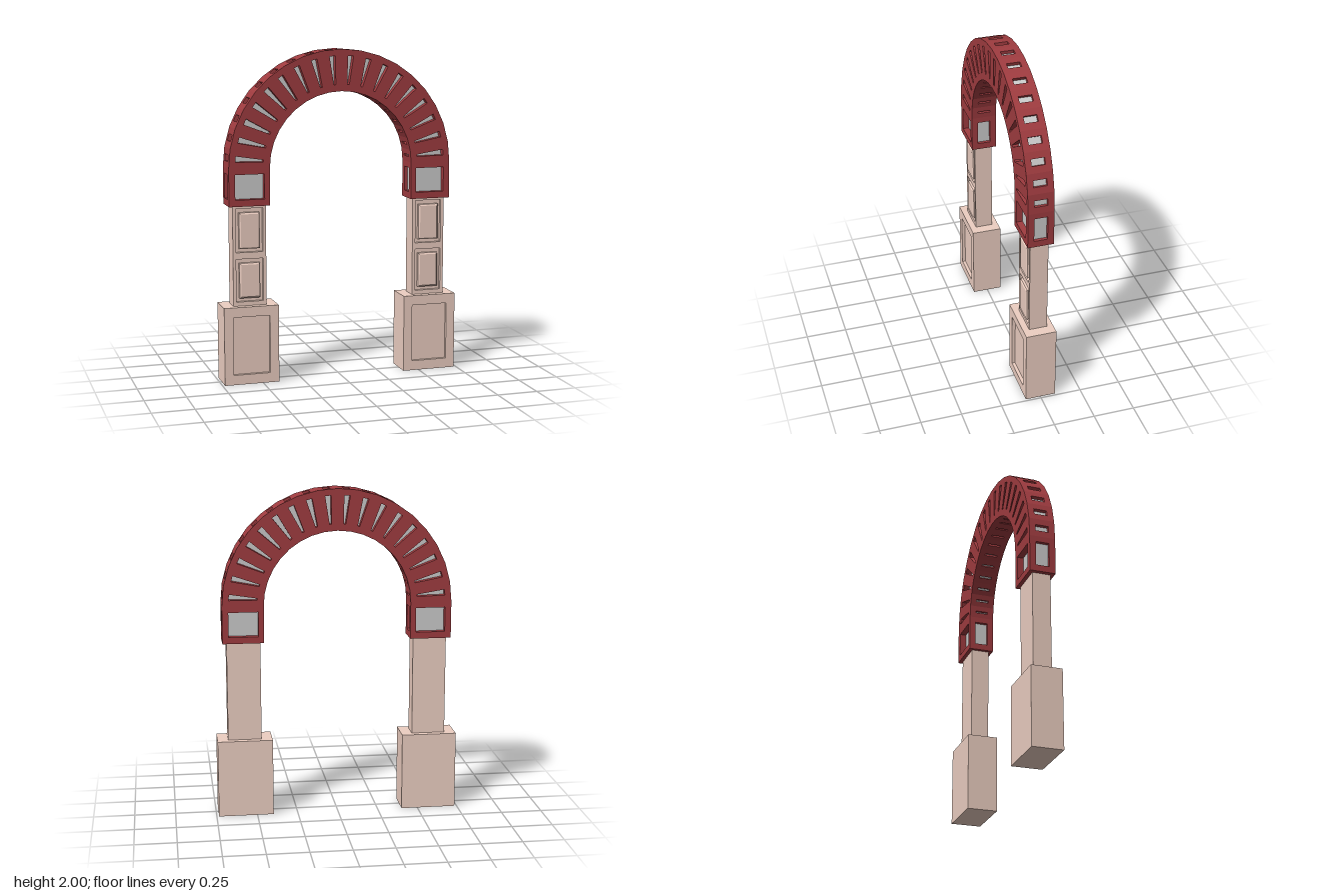
import * as THREE from 'three';
import { mergeGeometries } from 'three/addons/utils/BufferGeometryUtils.js';

const RED = 0xa03c40, STONE = 0xedcfc2, GREY = 0xcccccc;
const BASE_Y = 1.08, SPRING_Y = 1.305; // arch foot and centre of its curve
const R_OUT = 0.695, R_IN = 0.445, SEGMENTS = 18;
const STEP = Math.PI / SEGMENTS;
const HALF_Z = 0.078, CORE_Z = 0.04, RIM = 0.02;

const material = color => new THREE.MeshStandardMaterial({ color, flatShading: true });

function mesh(name, geometry, color) {
  const m = new THREE.Mesh(geometry, material(color));
  m.name = name;
  return m;
}

// Flat outline with holes, extruded from z0 to z1
function slab(points, holes, z0, z1) {
  const shape = new THREE.Shape(points);
  holes.forEach(h => shape.holes.push(new THREE.Path(h)));
  const g = new THREE.ExtrudeGeometry(shape, { depth: z1 - z0, bevelEnabled: false });
  return g.translate(0, 0, z0);
}

const v = (x, y) => new THREE.Vector2(x, y);
const rect = (x0, x1, y0, y1) => [v(x0, y0), v(x1, y0), v(x1, y1), v(x0, y1)];

function box(x0, x1, y0, y1, z0, z1) {
  return new THREE.BoxGeometry(x1 - x0, y1 - y0, z1 - z0)
    .translate((x0 + x1) / 2, (y0 + y1) / 2, (z0 + z1) / 2);
}

// Corner of the faceted arch, and a point on the facet centred on angle a
const corner = (k, r) => v(r * Math.cos(k * STEP), SPRING_Y + r * Math.sin(k * STEP));
const onFacet = (a, r, t) => v(
  r * Math.cos(a) - t * Math.sin(a),
  SPRING_Y + r * Math.sin(a) + t * Math.cos(a));

function archOutline(rOut, rIn, y0) {
  const outer = [v(rOut, y0)], inner = [v(rIn, y0)];
  for (let k = 0; k <= SEGMENTS; k++) {
    outer.push(corner(k, rOut));
    inner.push(corner(k, rIn));
  }
  outer.push(v(-rOut, y0));
  inner.push(v(-rIn, y0));
  return outer.concat(inner.reverse());
}

// Rim strip of the arch, interrupted by a window in each facet
function rimPieces(r0, r1, halfGap) {
  const shrink = Math.cos(STEP / 2);
  const pieces = [];
  for (let k = 0; k <= SEGMENTS; k++) {
    const side = r => {
      const start = k === 0 ? v(r, 1.27) : onFacet((k - 0.5) * STEP, r * shrink, halfGap);
      const end = k === SEGMENTS ? v(-r, 1.27) : onFacet((k + 0.5) * STEP, r * shrink, -halfGap);
      return [start, corner(k, r), end];
    };
    pieces.push(slab(side(r1).concat(side(r0).reverse()), [], -CORE_Z, CORE_Z));
  }
  return pieces;
}

function buildArch() {
  const arch = new THREE.Group();
  arch.name = 'arch';

  // Tapered slots around the curve and one rectangular window in each foot
  const holes = [rect(0.478, 0.657, 1.12, 1.27), rect(-0.657, -0.478, 1.12, 1.27)];
  for (let k = 0; k < SEGMENTS; k++) {
    const a = (k + 0.5) * STEP;
    holes.push([onFacet(a, 0.485, -0.006), onFacet(a, 0.655, -0.018),
      onFacet(a, 0.655, 0.018), onFacet(a, 0.485, 0.006)]);
  }
  const outline = archOutline(R_OUT, R_IN, BASE_Y);
  arch.add(mesh('frontArchFace', slab(outline, holes, CORE_Z, HALF_Z), RED));
  arch.add(mesh('backArchFace', slab(outline, holes, -HALF_Z, -CORE_Z), RED));

  // Outer and inner rims, with solid feet
  const feet = [1, -1].map(s =>
    slab(rect(s * R_IN, s * R_OUT, BASE_Y, 1.12), [], -CORE_Z, CORE_Z));
  arch.add(mesh('outerRim', mergeGeometries(rimPieces(R_OUT - RIM, R_OUT, 0.02)), RED));
  arch.add(mesh('innerRim', mergeGeometries(rimPieces(R_IN, R_IN + RIM, 0.006)), RED));
  arch.add(mesh('archFeet', mergeGeometries(feet), RED));

  // Grey core seen through every window
  const core = archOutline(R_OUT - RIM, R_IN + RIM, 1.11);
  arch.add(mesh('archCore', slab(core, [], -CORE_Z, CORE_Z), GREY));
  return arch;
}

// Raised panel with chamfered edges
function raisedPanel(x0, x1, y0, y1, z) {
  const c = 0.009;
  const shape = new THREE.Shape(rect(x0 + c, x1 - c, y0 + c, y1 - c));
  return new THREE.ExtrudeGeometry(shape, {
    depth: 0.03, bevelSize: c, bevelThickness: 0.006, bevelSegments: 1
  }).translate(0, 0, z - 0.036);
}

// One support, centred on x = 0
function buildSupport(name) {
  const support = new THREE.Group();
  support.name = name;

  // Pedestal with a sunken front panel
  const w = 0.168, h = 0.475;
  support.add(mesh('pedestalBlock', box(-w, w, 0, h, -0.093, 0.073), STONE));
  support.add(mesh('pedestalFrame',
    slab(rect(-w, w, 0, h), [rect(-0.113, 0.113, 0.06, 0.415)], 0.073, 0.093), STONE));

  // Pillar with two framed panels
  const p = 0.102;
  const rows = [[0.5, 0.76], [0.8, 1.065]];
  support.add(mesh('pillarShaft', box(-p, p, h, BASE_Y, -0.055, 0.035), STONE));
  support.add(mesh('pillarFrame', slab(rect(-p, p, h, BASE_Y),
    rows.map(([y0, y1]) => rect(-0.083, 0.083, y0, y1)), 0.035, 0.055), STONE));
  rows.forEach(([y0, y1]) => support.add(mesh('pillarPanel',
    raisedPanel(-0.063, 0.063, y0 + 0.022, y1 - 0.025, 0.063), STONE)));
  return support;
}

export function createModel() {
  const model = new THREE.Group();
  model.name = 'archway';
  model.add(buildArch());
  [['leftSupport', 1], ['rightSupport', -1]].forEach(([name, s]) => {
    const support = buildSupport(name);
    support.position.x = s * 0.568;
    model.add(support);
  });
  return model;
}
